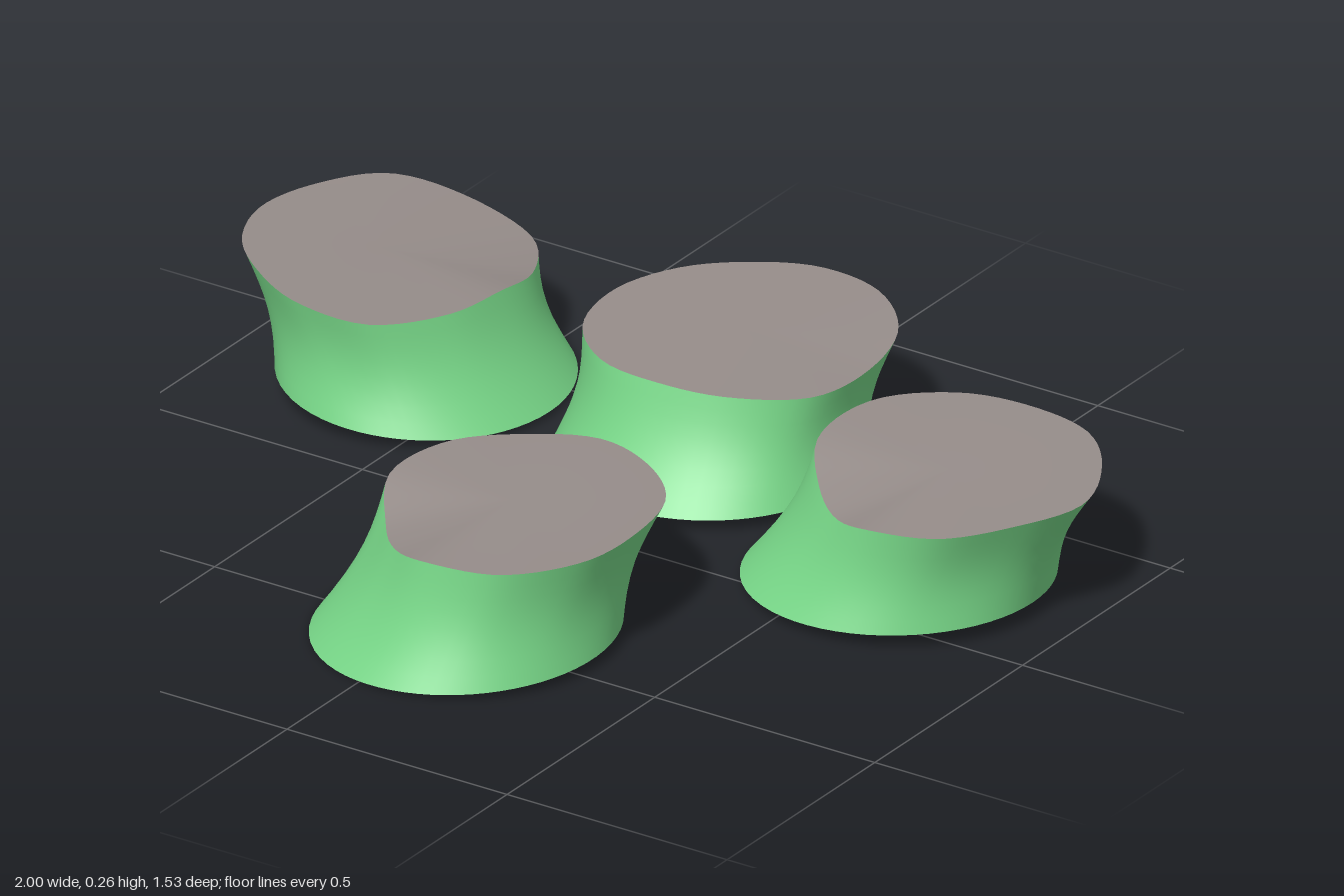
import * as THREE from 'three';

const SEGMENTS = 64;
const LEVELS = 8;

// base: tilted ellipse footprint. top: tilted plane with one worn dip in its edge.
// radii: rim distance from the top centre at even angles, from +x towards +z.
const STONES = [
  {
    name: 'leftStone',
    base: { x: -0.61, y: 0.033, z: -0.38, rx: 0.28, rz: 0.3, tiltX: -0.06, tiltZ: 0 },
    top: { x: -0.73, y: 0.245, z: -0.4, tiltX: -0.04, tiltZ: 0, dip: 0.045, dipAngle: -0.85 },
    radii: [0.275, 0.297, 0.32, 0.283, 0.255, 0.26, 0.27, 0.278, 0.305, 0.292, 0.32, 0.291],
  },
  {
    name: 'backStone',
    base: { x: 0.03, y: 0.035, z: -0.385, rx: 0.3, rz: 0.295, tiltX: 0, tiltZ: -0.02 },
    top: { x: 0.03, y: 0.252, z: -0.49, tiltX: 0, tiltZ: -0.045, dip: 0.01, dipAngle: 0 },
    radii: [0.296, 0.315, 0.286, 0.27, 0.29, 0.298, 0.283, 0.262, 0.252, 0.271, 0.29, 0.299],
  },
  {
    name: 'rightStone',
    base: { x: 0.605, y: 0.028, z: -0.17, rx: 0.303, rz: 0.295, tiltX: 0.04, tiltZ: 0 },
    top: { x: 0.7, y: 0.252, z: -0.2, tiltX: 0.02, tiltZ: -0.04, dip: 0.045, dipAngle: 2.3 },
    radii: [0.3, 0.274, 0.284, 0.266, 0.24, 0.247, 0.297, 0.328, 0.312, 0.29, 0.293, 0.288],
  },
  {
    name: 'frontStone',
    base: { x: 0.045, y: 0.018, z: 0.46, rx: 0.295, rz: 0.303, tiltX: 0.035, tiltZ: -0.033 },
    top: { x: 0.085, y: 0.248, z: 0.36, tiltX: 0.03, tiltZ: -0.02, dip: 0.05, dipAngle: 2.4 },
    radii: [0.282, 0.306, 0.321, 0.292, 0.252, 0.242, 0.28, 0.288, 0.28, 0.298, 0.286, 0.288],
  },
];

function makeGeometry(points, index) {
  const geometry = new THREE.BufferGeometry().setFromPoints(points);
  geometry.setIndex(index);
  geometry.computeVertexNormals();
  return geometry;
}

// Fan of triangles closing a ring, facing up or down
function makeCap(ring, centre, up) {
  const index = [];
  for (let i = 0; i < SEGMENTS; i++) {
    const a = 1 + i;
    const b = 1 + ((i + 1) % SEGMENTS);
    index.push(0, ...(up ? [b, a] : [a, b]));
  }
  return makeGeometry([centre, ...ring], index);
}

// Side wall lofted through all rings, bottom to top
function makeWall(rings) {
  const index = [];
  for (let l = 0; l < rings.length - 1; l++) {
    for (let i = 0; i < SEGMENTS; i++) {
      const a = l * SEGMENTS + i;
      const b = l * SEGMENTS + ((i + 1) % SEGMENTS);
      index.push(a, a + SEGMENTS, b + SEGMENTS, a, b + SEGMENTS, b);
    }
  }
  return makeGeometry(rings.flat(), index);
}

// Point at an offset from a centre, on that centre's tilted plane
function onPlane(plane, dx, dz) {
  const y = plane.y + plane.tiltX * dx + plane.tiltZ * dz;
  return new THREE.Vector3(plane.x + dx, y, plane.z + dz);
}

function createStone({ name, base, top, radii }, sideMaterial, topMaterial) {
  const topCentre = onPlane(top, 0, 0);
  const baseCentre = onPlane(base, 0, 0);

  // Irregular rim, lowered around the dip
  const controls = radii.map((r, i) => {
    const angle = (i / radii.length) * Math.PI * 2;
    const point = onPlane(top, r * Math.cos(angle), r * Math.sin(angle));
    const delta = angle - top.dipAngle;
    const turn = Math.atan2(Math.sin(delta), Math.cos(delta));
    point.y -= top.dip * Math.exp(-((turn / 0.6) ** 2));
    return point;
  });
  const rim = new THREE.CatmullRomCurve3(controls, true).getSpacedPoints(SEGMENTS).slice(0, SEGMENTS);

  // Footprint follows the rim's angles around the ellipse
  const foot = rim.map((p) => {
    const angle = Math.atan2(p.z - top.z, p.x - top.x);
    return onPlane(base, base.rx * Math.cos(angle), base.rz * Math.sin(angle));
  });

  // Rings between footprint and rim, drawn in slightly at the waist
  const rings = [];
  for (let l = 0; l <= LEVELS; l++) {
    const t = l / LEVELS;
    const centre = baseCentre.clone().lerp(topCentre, t);
    const scale = 1 - 0.06 * Math.sin(Math.PI * t);
    rings.push(foot.map((p, i) => {
      const q = p.clone().lerp(rim[i], t);
      q.x = centre.x + (q.x - centre.x) * scale;
      q.z = centre.z + (q.z - centre.z) * scale;
      return q;
    }));
  }

  const stone = new THREE.Group();
  stone.name = name;
  const add = (part, geometry, material) => {
    const mesh = new THREE.Mesh(geometry, material);
    mesh.name = part;
    stone.add(mesh);
  };
  add('wall', makeWall(rings), sideMaterial);
  add('underside', makeCap(foot, baseCentre, false), sideMaterial);
  add('topFace', makeCap(rim, topCentre, true), topMaterial);
  return stone;
}

export function createModel() {
  const green = new THREE.MeshStandardMaterial({ color: 0x76d486 });
  green.name = 'mossGreen';
  const grey = new THREE.MeshStandardMaterial({ color: 0x958c89 });
  grey.name = 'stoneGrey';

  const model = new THREE.Group();
  model.name = 'steppingStones';
  for (const spec of STONES) model.add(createStone(spec, green, grey));
  return model;
}
